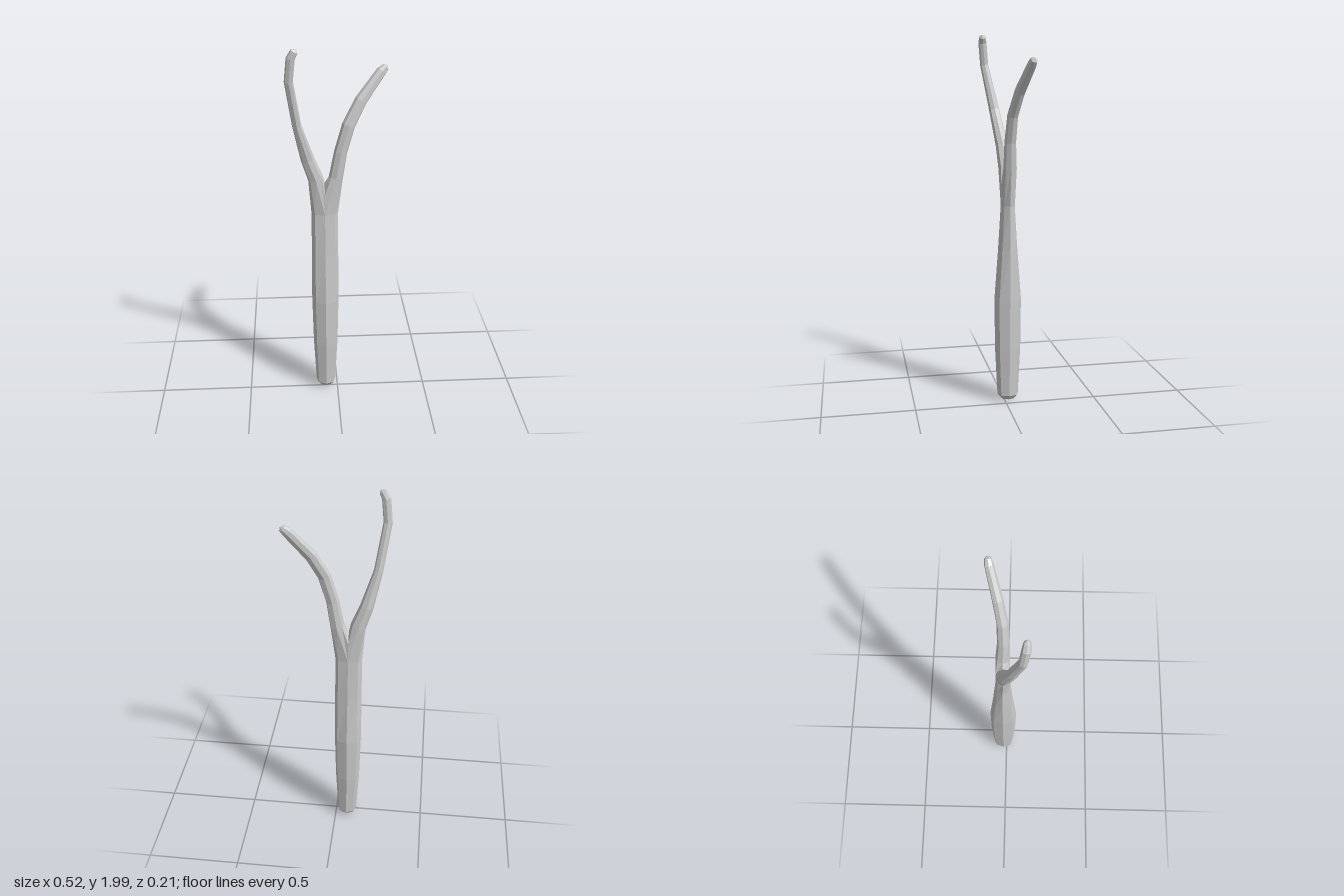
import * as THREE from 'three';

const V = (x, y, z) => new THREE.Vector3(x, y, z);
const SIDES = 8;
const AXIS_X = -0.065, AXIS_Z = -0.02;

// Eight-sided ring around a centre, square to the tangent
function ring(centre, tangent, ru, rv) {
  const u = tangent.clone().cross(V(0, 0, 1)).normalize();
  const v = u.clone().cross(tangent).normalize();
  return Array.from({ length: SIDES }, (_, i) => {
    const a = (i / SIDES) * Math.PI * 2;
    const k = i % 2 ? 1.06 : 1;
    return centre.clone()
      .addScaledVector(u, Math.cos(a) * ru * k)
      .addScaledVector(v, Math.sin(a) * rv * k);
  });
}

// Skin a list of rings, closing either end with a fan to a point
function loft(name, rings, bottom, top, material) {
  const pos = [];
  const tri = (...pts) => pts.forEach((p) => pos.push(p.x, p.y, p.z));
  for (let i = 0; i < SIDES; i++) {
    const j = (i + 1) % SIDES;
    for (let k = 0; k < rings.length - 1; k++) {
      const [a, b] = [rings[k], rings[k + 1]];
      tri(a[i], b[i], a[j]);
      tri(a[j], b[i], b[j]);
    }
    const last = rings[rings.length - 1];
    if (bottom) tri(bottom, rings[0][i], rings[0][j]);
    if (top) tri(top, last[j], last[i]);
  }
  const geo = new THREE.BufferGeometry();
  geo.setAttribute('position', new THREE.Float32BufferAttribute(pos, 3));
  geo.computeVertexNormals();
  const mesh = new THREE.Mesh(geo, material);
  mesh.name = name;
  return mesh;
}

export function createModel() {
  const group = new THREE.Group();
  group.name = 'forkedStick';
  const material = new THREE.MeshStandardMaterial({ color: 0xcccccc, flatShading: true });

  // Handle: height, half width, half depth
  const handleRings = [
    [0.01, 0.036, 0.038], [0.035, 0.054, 0.058], [0.3, 0.067, 0.071],
    [0.58, 0.073, 0.074], [0.86, 0.071, 0.053], [1.1, 0.07, 0.038],
  ].map(([y, rx, rz]) => ring(V(AXIS_X, y, AXIS_Z), V(0, 1, 0), rx, rz));
  group.add(loft('handle', handleRings, V(AXIS_X, 0, AXIS_Z), null, material));

  // Saddle of the crotch, shared by both prongs
  const rim = handleRings[handleRings.length - 1];
  const saddle = [
    V(AXIS_X, 1.21, AXIS_Z + 0.036),
    V(AXIS_X, 1.27, AXIS_Z),
    V(AXIS_X, 1.21, AXIS_Z - 0.036),
  ];

  // Each prong grows from half the rim plus the saddle
  function prong(name, isLeft, stations, tip) {
    const start = rim.slice();
    const inner = isLeft ? [3, 4, 5] : [1, 0, 7];
    inner.forEach((index, k) => { start[index] = saddle[k]; });
    const centres = stations.map(([x, y, z]) => V(x, y, z));
    const rings = stations.map(([, , , ru, rv], k) => {
      const from = centres[Math.max(k - 1, 0)];
      const to = centres[k + 1] || tip;
      return ring(centres[k], to.clone().sub(from).normalize(), ru, rv);
    });
    group.add(loft(name, [start, ...rings], null, tip, material));
  }

  // Stations: x, y, z, half width, half depth
  prong('rightProng', false, [
    [-0.112, 1.3, -0.015, 0.04, 0.038],
    [-0.152, 1.41, -0.005, 0.035, 0.034],
    [-0.203, 1.6, 0.028, 0.023, 0.028],
    [-0.238, 1.835, 0.075, 0.022, 0.022],
    [-0.226, 1.95, 0.086, 0.022, 0.022],
    [-0.208, 1.982, 0.089, 0.019, 0.018],
  ], V(-0.197, 1.993, 0.09));

  prong('leftProng', true, [
    [-0.006, 1.3, -0.021, 0.037, 0.036],
    [0.018, 1.44, -0.017, 0.034, 0.031],
    [0.058, 1.58, -0.022, 0.034, 0.029],
    [0.12, 1.7, -0.045, 0.032, 0.027],
    [0.225, 1.837, -0.085, 0.026, 0.022],
    [0.246, 1.856, -0.09, 0.019, 0.017],
  ], V(0.255, 1.864, -0.092));

  return group;
}
